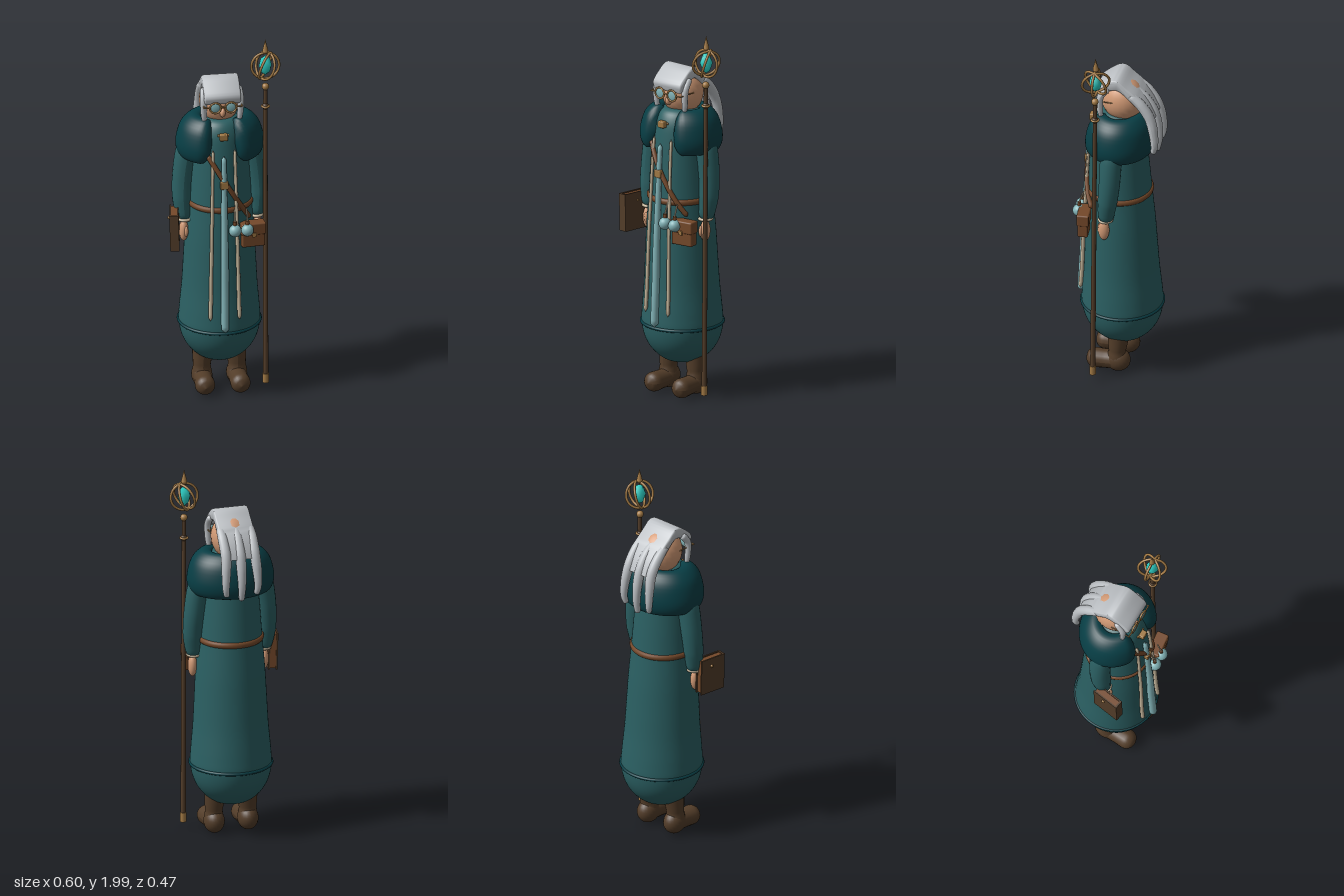
import * as THREE from 'three';
import { toCreasedNormals } from 'three/addons/utils/BufferGeometryUtils.js';
import { RoundedBoxGeometry } from 'three/addons/geometries/RoundedBoxGeometry.js';

const mat = (name, color) => {
  const m = new THREE.MeshStandardMaterial({ color });
  m.name = name;
  return m;
};
const V = (x, y, z) => new THREE.Vector3(x, y, z);
const CX = -0.012; // the figure's own middle line

// Robe outline as [radius, height]
const ROBE = [[0, 0.17], [0.09, 0.185], [0.155, 0.235], [0.195, 0.3], [0.213, 0.38], [0.21, 0.46], [0.198, 0.6], [0.19, 0.75],
  [0.182, 0.9], [0.168, 1.08], [0.156, 1.25], [0.143, 1.4], [0.125, 1.5], [0.085, 1.555], [0, 1.565]];
const robeMid = (y) => -0.017 + 0.02 * (y - 0.39);

// Point on the robe's front, lifted off it by a small amount
function onRobe(x, y, lift) {
  const i = Math.max(1, ROBE.findIndex((p) => p[1] >= y));
  const [a, b] = [ROBE[i - 1], ROBE[i]];
  const r = a[0] + ((b[0] - a[0]) * (y - a[1])) / (b[1] - a[1]) + lift;
  return V(x, y, robeMid(y) + Math.sqrt(Math.max(0, r * r - (x - CX) ** 2)));
}

// Tube along a smooth path with a varying radius and closed round tips
function taperTube(points, radii, steps = 30, sides = 14) {
  const path = new THREE.CatmullRomCurve3(points);
  const geo = new THREE.TubeGeometry(path, steps, 1, sides);
  const pos = geo.attributes.position;
  const v = V(0, 0, 0);
  const len = path.getLength();
  for (let i = 0; i <= steps; i++) {
    const u = i / steps;
    const c = path.getPointAt(u);
    const f = u * (radii.length - 1);
    const k = Math.min(radii.length - 2, Math.floor(f));
    let r = THREE.MathUtils.lerp(radii[k], radii[k + 1], f - k);
    const d = Math.min(u, 1 - u) * len;
    if (d < r) r *= Math.sqrt(Math.max(0.0001, 1 - (1 - d / r) ** 2));
    for (let j = 0; j <= sides; j++) {
      const n = i * (sides + 1) + j;
      v.fromBufferAttribute(pos, n).sub(c).multiplyScalar(r).add(c);
      pos.setXYZ(n, v.x, v.y, v.z);
    }
  }
  geo.computeVertexNormals();
  return geo;
}

// Thick shoulder cape: a swept section that rounds off at the front opening
function capeGeometry() {
  const section = new THREE.SplineCurve([[0.1, 1.5], [0.14, 1.43], [0.16, 1.36], [0.2, 1.338], [0.226, 1.37], [0.23, 1.43],
    [0.205, 1.515], [0.15, 1.565], [0.1, 1.555], [0.1, 1.5]].map((p) => new THREE.Vector2(...p)));
  const pts = section.getPoints(36);
  const segs = 72;
  const gap = 0.34;
  const geo = new THREE.LatheGeometry(pts, segs, gap, Math.PI * 2 - gap * 2);
  const pos = geo.attributes.position;
  for (let i = 0; i <= segs; i++) {
    const t = i / segs;
    const d = Math.min(t, 1 - t) / 0.06;
    const s = d < 1 ? Math.sqrt(Math.max(0, 1 - (1 - d) ** 2)) : 1;
    const phi = gap + t * (Math.PI * 2 - gap * 2);
    pts.forEach((p, j) => {
      const r = 0.165 + (p.x - 0.165) * s;
      pos.setXYZ(i * pts.length + j, r * Math.sin(phi), 1.45 + (p.y - 1.45) * s, r * Math.cos(phi) * 0.83);
    });
  }
  geo.computeVertexNormals();
  return geo;
}

// Slab of hair from the brow, over the crown and down the back
function hairGeometry() {
  const outer = [[0.098, 1.68], [0.1, 1.705], [0.06, 1.742], [0.02, 1.77], [-0.012, 1.772], [-0.055, 1.738],
    [-0.105, 1.698], [-0.155, 1.64], [-0.19, 1.575]];
  const inner = [[-0.178, 1.575], [-0.145, 1.62], [-0.1, 1.67], [-0.02, 1.735], [0.05, 1.72], [0.082, 1.69]];
  const smooth = (list) => new THREE.SplineCurve(list.map((p) => new THREE.Vector2(...p))).getPoints(30);
  const shape = new THREE.Shape([...smooth(outer), ...smooth(inner)]);
  const geo = new THREE.ExtrudeGeometry(shape, {
    depth: 0.165, bevelEnabled: true, bevelSize: 0.012, bevelThickness: 0.014, bevelSegments: 4 });
  geo.translate(0, 0, -0.0825).rotateY(-Math.PI / 2);
  return toCreasedNormals(geo, 0.7);
}

export function createModel() {
  const root = new THREE.Group();
  root.name = 'robedElder';
  const M = {
    robe: mat('teal cloth', 0x2b6063), cape: mat('dark teal cloth', 0x083e45),
    hair: mat('silver hair', 0xbcc0c4), skin: mat('skin', 0xd39b76),
    pale: mat('pale blue', 0x82b3b7), cream: mat('cream cord', 0xc6b69b),
    leather: mat('leather', 0x75492a), bronze: mat('bronze', 0xa37a45),
    brown: mat('dark brown', 0x533d29), gem: mat('turquoise', 0x2fd2c8),
  };
  const add = (name, geo, m, x = 0, y = 0, z = 0, parent = root) => {
    const mesh = new THREE.Mesh(geo, m);
    mesh.name = name;
    mesh.position.set(x, y, z);
    parent.add(mesh);
    return mesh;
  };
  const ball = (r) => new THREE.SphereGeometry(r, 24, 16);
  const hoop = (r, t) => new THREE.TorusGeometry(r, t, 10, 48);
  const rod = (r, h) => new THREE.CylinderGeometry(r, r, h, 16);

  // Robe, leaning very slightly forward with height
  const robeCurve = new THREE.SplineCurve(ROBE.map((p) => new THREE.Vector2(...p)));
  const robeGeo = new THREE.LatheGeometry(robeCurve.getPoints(80).map((p) => p.setX(Math.max(0, p.x))), 56);
  const rp = robeGeo.attributes.position;
  for (let i = 0; i < rp.count; i++) rp.setZ(i, rp.getZ(i) + robeMid(rp.getY(i)));
  add('robe', robeGeo, M.robe, CX);
  add('hemBand', hoop(0.213, 0.009), M.cape, CX, 0.39, -0.017).rotation.x = Math.PI / 2;
  add('belt', hoop(0.166, 0.011).scale(1, 1, 1.5), M.leather, CX, 1.08, robeMid(1.08)).rotation.x = Math.PI / 2;
  add('cape', capeGeometry(), M.cape, CX, 0, -0.008);

  // Front panel, cords, strap and brooch
  const drape = (x0, x1, y0, y1, lift) =>
    Array.from({ length: 9 }, (_, i) => onRobe(x0 + ((x1 - x0) * i) / 8, y0 + ((y1 - y0) * i) / 8, lift));
  add('frontPanel', taperTube(drape(-0.015, -0.015, 1.39, 0.4, 0.012), [0.013, 0.017, 0.021, 0.021], 50), M.pale);
  add('rightCord', taperTube(drape(-0.07, -0.09, 1.42, 0.465, 0.01), [0.008, 0.011], 50), M.cream);
  add('leftCord', taperTube(drape(0.045, 0.063, 1.42, 0.465, 0.01), [0.008, 0.011], 50), M.cream);
  add('strap', taperTube(drape(-0.1, 0.13, 1.39, 1.01, 0.009), [0.013, 0.013], 40), M.leather);
  add('strapBuckle', new RoundedBoxGeometry(0.042, 0.042, 0.024, 2, 0.005), M.bronze, -0.015, 1.23, 0.175);
  add('brooch', new RoundedBoxGeometry(0.042, 0.036, 0.03, 2, 0.006), M.bronze, -0.014, 1.492, 0.145);
  add('broochPin', rod(0.006, 0.06), M.bronze, -0.014, 1.495, 0.13).rotation.z = Math.PI / 2;

  // Head, nose and spectacles
  add('head', ball(1), M.skin, CX, 1.635, -0.02).scale.set(0.106, 0.121, 0.115);
  add('nose', ball(1), M.skin, CX, 1.61, 0.095).scale.set(0.015, 0.025, 0.02);
  for (const s of [-1, 1]) {
    const x = CX + s * 0.041;
    add('lens', ball(1), M.pale, x, 1.648, 0.115).scale.set(0.028, 0.028, 0.008);
    add('lensRim', hoop(0.029, 0.005), M.bronze, x, 1.648, 0.118);
    add('spectacleArm', rod(0.003, 0.11), M.bronze, CX + s * 0.1, 1.652, 0.065).rotation.x = Math.PI / 2;
    add('spectacleHinge', rod(0.004, 0.036), M.bronze, CX + s * 0.085, 1.652, 0.118).rotation.z = Math.PI / 2;
  }
  add('spectacleBridge', rod(0.004, 0.03), M.bronze, CX, 1.652, 0.12).rotation.z = Math.PI / 2;

  // Hair with temple locks and three long back locks
  add('hair', hairGeometry(), M.hair, CX);
  for (const s of [-1, 1]) {
    const x = CX + s * 0.092;
    add('templeLock', taperTube([V(x, 1.735, 0.035), V(x + s * 0.006, 1.68, 0.075), V(x + s * 0.004, 1.6, 0.078),
      V(x - s * 0.004, 1.52, 0.068)], [0.018, 0.018, 0.016, 0.008]), M.hair);
  }
  for (const s of [-1, 0, 1]) {
    const x = CX + s * 0.079;
    const drop = s === 0 ? 0.0 : 0.03;
    add('backLock', taperTube([V(x, 1.71, -0.075), V(x, 1.65, -0.14), V(x, 1.58, -0.185), V(x + s * 0.006, 1.49, -0.208),
      V(x + s * 0.008, 1.41, -0.213), V(x, 1.335 + drop, -0.203)], [0.022, 0.027, 0.028, 0.026, 0.021, 0.014], 40), M.hair);
  }

  // Arms and boots, mirrored
  for (const s of [-1, 1]) {
    const at = (x, y, z) => V(CX + s * x, y, z);
    add('sleeve', taperTube([at(0.14, 1.47, -0.01), at(0.175, 1.36, -0.005), at(0.197, 1.2, 0.0), at(0.2, 1.09, 0.01),
      at(0.19, 0.975, 0.022)], [0.05, 0.058, 0.056, 0.052, 0.038], 36, 18), M.robe);
    add('cuff', hoop(0.033, 0.008), M.cream, CX + s * 0.19, 0.988, 0.022).rotation.x = Math.PI / 2;
    add('hand', ball(1), M.skin, CX + s * 0.195, 0.925, 0.03).scale.set(0.024, 0.06, 0.03);
    add('thumb', ball(1), M.skin, CX + s * 0.185, 0.925, 0.055).scale.set(0.011, 0.03, 0.012);
    const bx = CX + s * 0.092;
    add('bootShaft', taperTube([V(CX + s * 0.08, 0.3, -0.025), V(bx - s * 0.005, 0.21, -0.02), V(bx, 0.14, -0.015),
      V(bx, 0.04, -0.012)], [0.06, 0.056, 0.046, 0.06], 24, 18), M.brown);
    add('bootHeel', ball(1), M.brown, bx, 0.072, -0.018).scale.set(0.055, 0.065, 0.067);
    add('bootFoot', taperTube([V(bx, 0.07, -0.05), V(bx, 0.065, 0.04), V(bx + s * 0.003, 0.062, 0.152)],
      [0.05, 0.05, 0.056], 24, 18), M.brown);
  }

  // Satchel and two hanging flasks
  const bag = new THREE.Group();
  bag.name = 'satchel';
  bag.position.set(0.138, 0.93, 0.148);
  bag.rotation.y = 0.12;
  root.add(bag);
  add('satchelBody', new RoundedBoxGeometry(0.125, 0.125, 0.055, 2, 0.008), M.leather, 0, 0, 0, bag);
  add('satchelFlap', new RoundedBoxGeometry(0.132, 0.065, 0.066, 2, 0.008), M.leather, 0, 0.038, 0, bag);
  add('satchelClasp', new THREE.BoxGeometry(0.02, 0.022, 0.008), M.bronze, 0, 0.008, 0.034, bag);
  for (const x of [0.04, 0.105]) {
    add('flask', ball(0.033), M.pale, x, 0.972, 0.187);
    add('flaskStopper', rod(0.01, 0.022), M.leather, x, 1.012, 0.185);
    add('flaskCord', rod(0.004, 0.07), M.cream, x, 1.05, 0.175).rotation.x = -0.35;
  }

  // Clasped book at the right hand
  const book = new THREE.Group();
  book.name = 'book';
  book.position.set(-0.263, 0.962, 0.08);
  book.rotation.set(0, -0.16, 0.03);
  root.add(book);
  for (const s of [-1, 1]) add('bookCover', new THREE.BoxGeometry(0.008, 0.2, 0.15), M.brown, s * 0.02, 0, 0, book);
  add('bookSpine', new THREE.BoxGeometry(0.048, 0.2, 0.01), M.brown, 0, 0, 0.072, book);
  add('bookPages', new THREE.BoxGeometry(0.034, 0.188, 0.138), M.leather, 0, 0, 0, book);
  add('bookClasp', rod(0.005, 0.065), M.bronze, -0.002, 0.055, -0.01, book).rotation.z = Math.PI / 2;
  add('bookBoss', ball(0.009), M.bronze, -0.025, 0.055, -0.01, book);

  // Staff with a ringed crystal
  const staff = new THREE.Group();
  staff.name = 'staff';
  staff.position.set(0.218, 0, 0.068);
  root.add(staff);
  const shaft = add('shaft', new THREE.CylinderGeometry(0.011, 0.014, 1.66, 16), M.brown, 0, 0.9, 0.005, staff);
  shaft.rotation.x = -0.008;
  add('ferrule', rod(0.017, 0.05), M.bronze, 0, 0.073, 0.012, staff);
  add('shaftKnob', ball(0.018), M.brown, 0, 1.62, 0, staff);
  add('shaftRing', hoop(0.018, 0.006), M.bronze, 0, 1.62, 0, staff).rotation.x = Math.PI / 2;
  add('shaftCap', ball(0.019), M.bronze, 0, 1.732, 0, staff);
  for (let i = 0; i < 3; i++) {
    const ring = add('orbRing', hoop(0.073, 0.007), M.bronze, 0, 1.85, -0.004, staff);
    ring.rotation.set(i ? 0.3 : 0, (i * Math.PI) / 3, 0, 'YXZ');
  }
  add('crystal', new THREE.OctahedronGeometry(1, 1), M.gem, 0, 1.853, -0.004, staff).scale.set(0.034, 0.056, 0.034);
  add('finialCollar', ball(0.015), M.bronze, 0, 1.932, -0.004, staff);
  add('finial', new THREE.ConeGeometry(0.015, 0.062, 16), M.bronze, 0, 1.969, -0.004, staff);
  return root;
}
